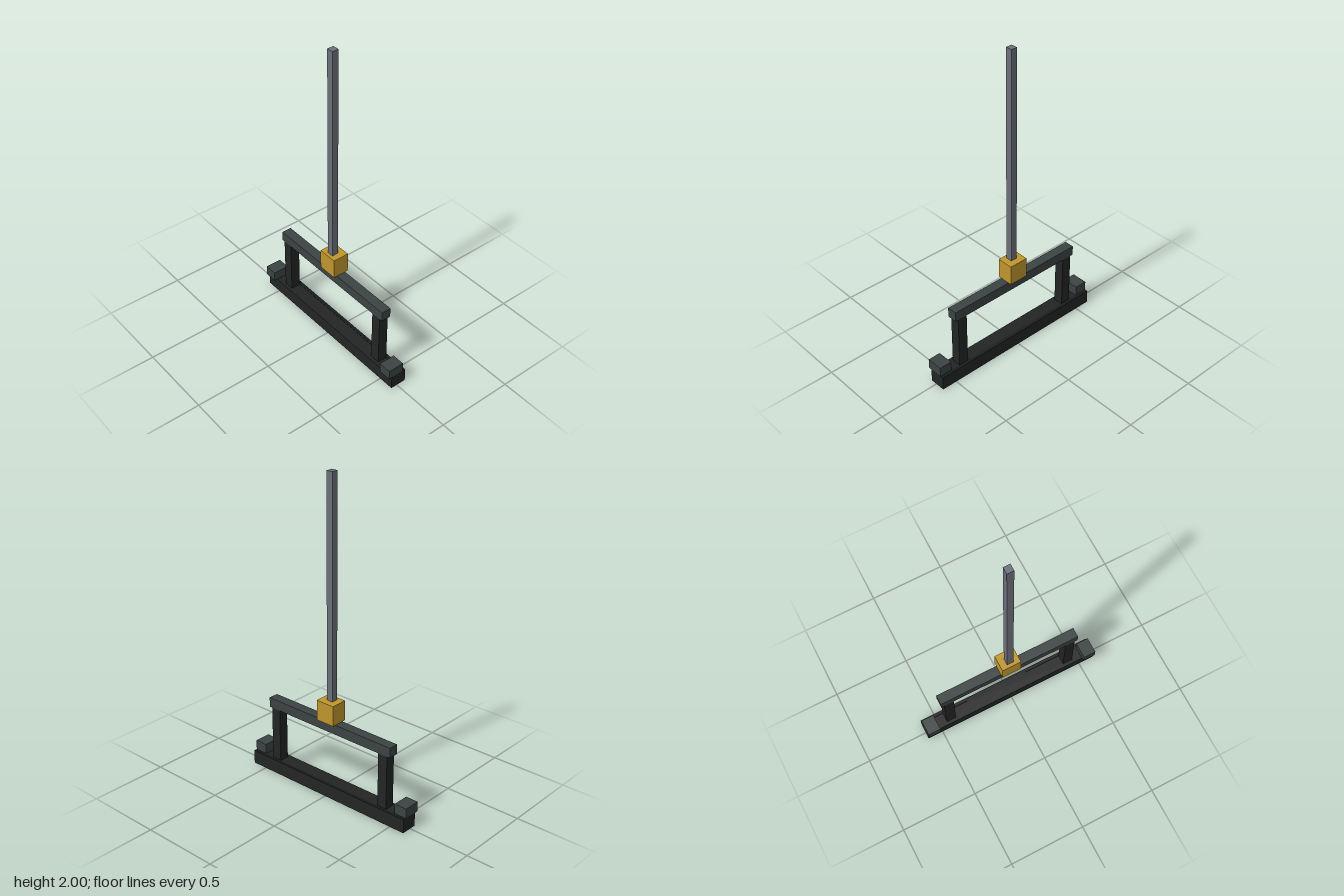
import * as THREE from 'three';

const material = (name, color) => {
  const m = new THREE.MeshStandardMaterial({ color });
  m.name = name;
  return m;
};

export function createModel() {
  const group = new THREE.Group();
  const black = material('black', 0x232424);
  const darkBlack = material('dark black', 0x1b1c1c);
  const slate = material('slate', 0x3c4343);
  const gold = material('gold', 0xbf962e);
  const steel = material('steel', 0x6d707a);

  // Box given by its lower and upper corners
  const box = (name, mat, [x0, y0, z0], [x1, y1, z1]) => {
    const mesh = new THREE.Mesh(new THREE.BoxGeometry(x1 - x0, y1 - y0, z1 - z0), mat);
    mesh.position.set((x0 + x1) / 2, (y0 + y1) / 2, (z0 + z1) / 2);
    mesh.name = name;
    group.add(mesh);
    return mesh;
  };

  // Long base beam with a darker strip along one top edge
  box('baseBeam', black, [-0.042, 0, -0.6], [0.063, 0.086, 0.6]);
  box('baseEdgeStrip', darkBlack, [0.042, 0.086, -0.6], [0.063, 0.088, 0.6]);

  // End blocks and posts, mirrored front and back
  for (const [side, s] of [['front', 1], ['back', -1]]) {
    const block = box(side + 'EndBlock', slate, [-0.063, 0.087, 0.517], [0.042, 0.151, 0.6]);
    const post = box(side + 'Post', black, [-0.021, 0.086, 0.389], [0.042, 0.433, 0.453]);
    block.position.z *= s;
    post.position.z *= s;
  }

  // Upper rail, collar and tall pole
  box('upperRail', slate, [-0.021, 0.433, -0.473], [0.042, 0.496, 0.473]);
  box('collar', gold, [-0.042, 0.496, -0.063], [0.063, 0.625, 0.063]);
  box('pole', steel, [-0.021, 0.625, -0.021], [0.021, 2, 0.021]);

  return group;
}
